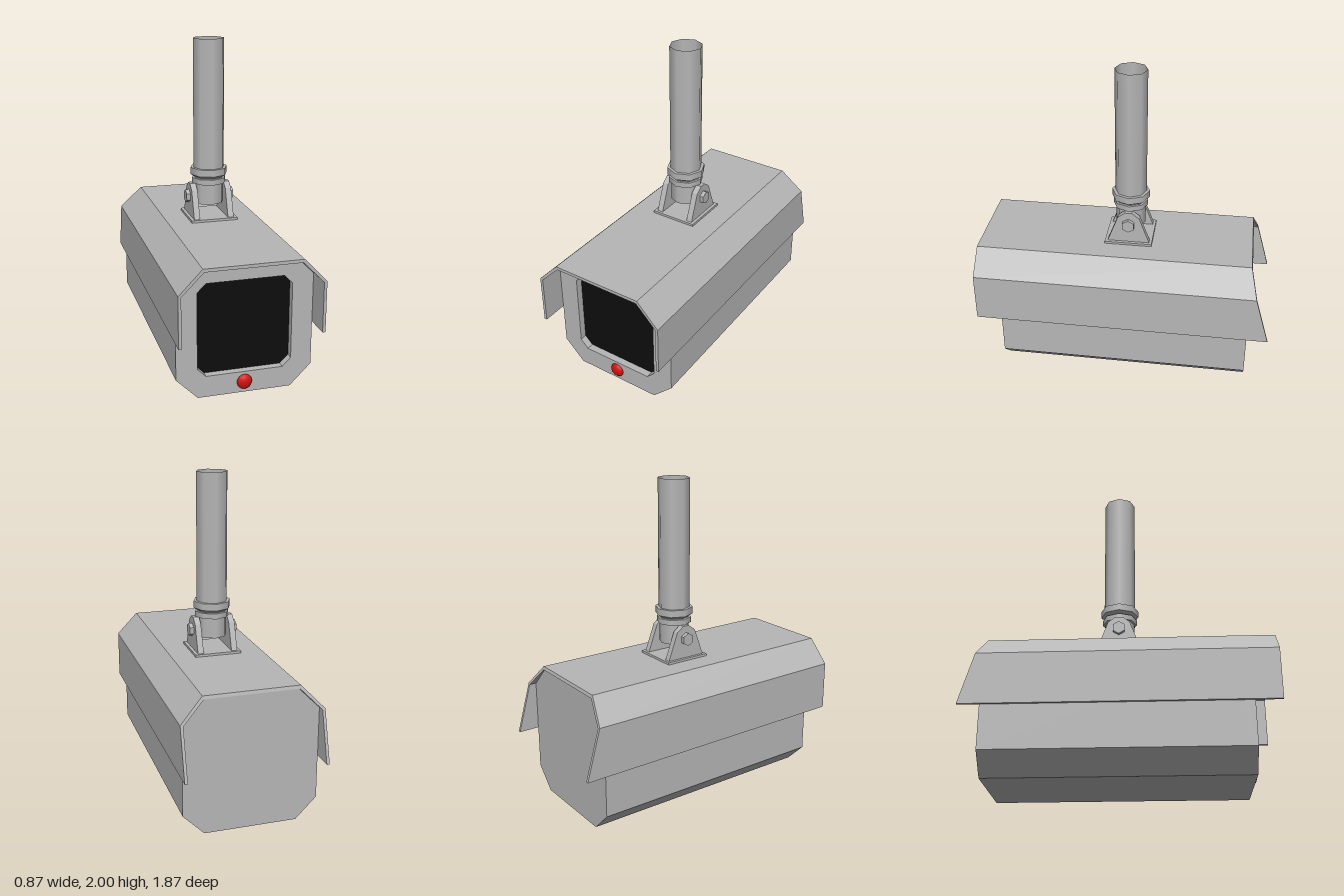
import * as THREE from 'three';

export function createModel() {
  const model = new THREE.Group();
  const grey = new THREE.MeshStandardMaterial({ color: 0xb6b6b6 });
  grey.name = 'grey metal';
  const greyTube = new THREE.MeshStandardMaterial({ color: 0xb6b6b6, side: THREE.DoubleSide });
  greyTube.name = 'grey open tube';
  const black = new THREE.MeshStandardMaterial({ color: 0x0d0d0d });
  black.name = 'black glass';
  const red = new THREE.MeshStandardMaterial({ color: 0xd01212 });
  red.name = 'red light';

  const add = (name, geometry, material, x = 0, y = 0, z = 0) => {
    const mesh = new THREE.Mesh(geometry, material);
    mesh.name = name;
    mesh.position.set(x, y, z);
    model.add(mesh);
    return mesh;
  };
  const extrude = (shape, depth) =>
    new THREE.ExtrudeGeometry(shape, { depth, bevelEnabled: false });
  // Rectangle with cut corners, from half width, bottom, top and cut size
  const cutRect = (w, y0, y1, c) => [
    [w - c, y0], [w, y0 + c], [w, y1 - c], [w - c, y1],
    [c - w, y1], [-w, y1 - c], [-w, y0 + c], [c - w, y0],
  ].map(([x, y]) => new THREE.Vector2(x, y));

  // Housing with a recessed window
  const outline = cutRect(0.415, 0, 0.838, 0.13);
  const opening = cutRect(0.287, 0.132, 0.71, 0.052);
  add('housing', extrude(new THREE.Shape(outline), 1.535), grey, 0, 0, -0.805);
  const frame = new THREE.Shape(outline);
  frame.holes.push(new THREE.Path(opening));
  add('windowFrame', extrude(frame, 0.05), grey, 0, 0, 0.73);
  add('window', extrude(new THREE.Shape(opening), 0.005), black, 0, 0, 0.73);

  // Status light, a flattened ball half sunk in the frame
  const light = add('statusLight', new THREE.SphereGeometry(0.047, 10, 8), red, 0, 0.068, 0.78);
  light.scale.z = 0.53;

  // Sun hood: folded sheet whose rear edge slopes back towards the bottom
  const half = [[0.435, 0.4], [0.435, 0.715], [0.295, 0.86]];
  const inner = [[0.287, 0.84], [0.417, 0.708], [0.417, 0.4]];
  const mirror = (pts) => pts.map(([x, y]) => [-x, y]).reverse();
  const sheet = [...half, ...mirror(half), ...mirror(inner), ...inner];
  const hood = extrude(new THREE.Shape(sheet.map(([x, y]) => new THREE.Vector2(x, y))), 1);
  const p = hood.attributes.position;
  for (let i = 0; i < p.count; i++) {
    const rear = -0.805 - (0.86 - p.getY(i)) * 0.283;
    p.setZ(i, p.getZ(i) > 0.5 ? 0.938 : rear);
  }
  hood.computeVertexNormals();
  add('sunHood', hood, grey);

  // Mounting plate and its two ears with hexagonal bolts
  const cz = -0.014;
  add('mountPlate', new THREE.BoxGeometry(0.3, 0.016, 0.3), grey, 0, 0.867, cz);
  const ear = new THREE.Shape([
    [-0.135, 0.87], [0.135, 0.87], [0.068, 1.05], [0.022, 1.085], [-0.022, 1.085], [-0.068, 1.05],
  ].map(([x, y]) => new THREE.Vector2(x, y)));
  const earGeometry = extrude(ear, 0.038);
  earGeometry.translate(0, 0, -0.019).rotateY(Math.PI / 2);
  const bolt = new THREE.CylinderGeometry(0.042, 0.042, 0.026, 6).toNonIndexed();
  bolt.rotateY(Math.PI / 2).rotateZ(Math.PI / 2);
  bolt.computeVertexNormals();
  for (const [side, s] of [['left', 1], ['right', -1]]) {
    add(side + 'Ear', earGeometry, grey, s * 0.111, 0, cz);
    add(side + 'Bolt', bolt, grey, s * 0.142, 1.0, cz);
  }

  // Swivel joint: socket, collars and neck
  const stack = [
    ['socket', 0.095, 0.095, 0.955, 1.09],
    ['lowerCollar', 0.11, 0.11, 1.085, 1.12],
    ['neck', 0.095, 0.095, 1.12, 1.13],
    ['collarFlare', 0.12, 0.095, 1.125, 1.142],
    ['upperCollar', 0.12, 0.12, 1.142, 1.186],
  ];
  for (const [name, top, bottom, y0, y1] of stack) {
    add(name, new THREE.CylinderGeometry(top, bottom, y1 - y0, 8), grey, 0, (y0 + y1) / 2, cz);
  }

  // Open hanging pole
  add('pole', new THREE.CylinderGeometry(0.1, 0.1, 0.82, 8, 1, true), greyTube, 0, 1.59, cz);
  return model;
}
